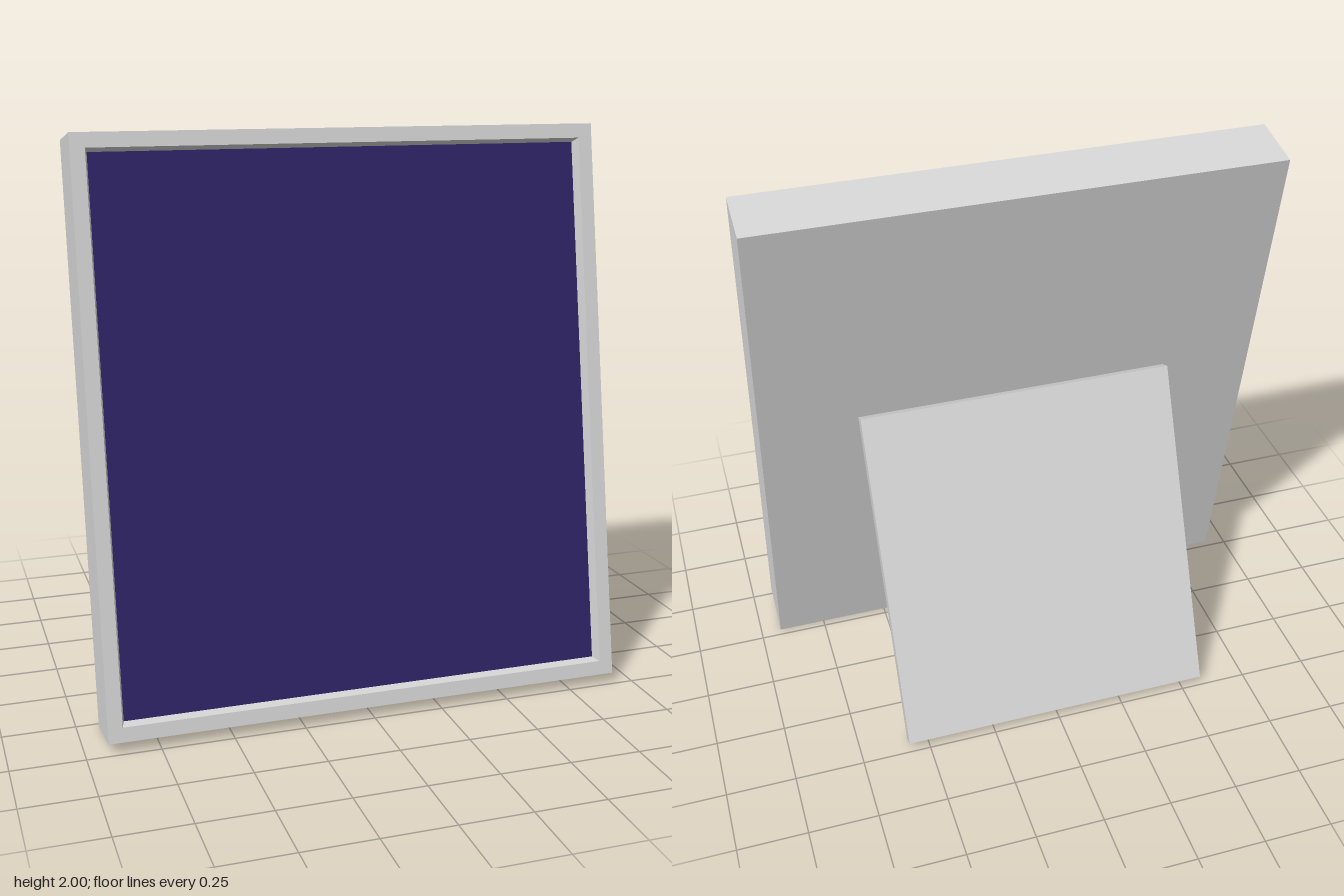
import * as THREE from 'three';

const WIDTH = 1.85, HEIGHT = 1.993, DEPTH = 0.215;
const BORDER = 0.05, BEVEL = 0.01, RECESS = 0.038;

// Joins a series of rectangular rings [halfWidth, halfHeight, z] with flat faces
function loftRectangles(rings) {
  const corners = rings.map(([w, h, z]) =>
    [[-w, -h, z], [w, -h, z], [w, h, z], [-w, h, z]]);
  const positions = [];
  for (let r = 0; r < corners.length - 1; r++) {
    const a = corners[r], b = corners[r + 1];
    for (let i = 0; i < 4; i++) {
      const j = (i + 1) % 4;
      positions.push(...a[i], ...a[j], ...b[j], ...a[i], ...b[j], ...b[i]);
    }
  }
  const geometry = new THREE.BufferGeometry();
  geometry.setAttribute('position', new THREE.Float32BufferAttribute(positions, 3));
  geometry.computeVertexNormals();
  return geometry;
}

export function createModel() {
  const group = new THREE.Group();
  group.name = 'pictureFrame';

  const frameGrey = new THREE.MeshStandardMaterial({ color: 0xd6d6d6 });
  frameGrey.name = 'frameGrey';
  const pictureIndigo = new THREE.MeshStandardMaterial({ color: 0x302468 });
  pictureIndigo.name = 'pictureIndigo';

  function add(parent, name, geometry, material) {
    const mesh = new THREE.Mesh(geometry, material);
    mesh.name = name;
    parent.add(mesh);
    return mesh;
  }

  // Panel leaning back ten degrees
  const panel = new THREE.Group();
  panel.name = 'panel';
  panel.position.set(0, 1, 0.21);
  panel.rotation.x = THREE.MathUtils.degToRad(-10);
  group.add(panel);

  // Frame: closed back, outer walls, front border and sloping recess walls
  const w = WIDTH / 2, h = HEIGHT / 2, d = DEPTH / 2;
  const inset = BORDER + BEVEL;
  add(panel, 'frame', loftRectangles([
    [0, 0, -d],
    [w, h, -d],
    [w, h, d],
    [w - BORDER, h - BORDER, d],
    [w - inset, h - inset, d - RECESS],
  ]), frameGrey);

  // Picture filling the floor of the recess
  add(panel, 'picture',
    new THREE.PlaneGeometry(WIDTH - 2 * inset, HEIGHT - 2 * inset), pictureIndigo)
    .position.z = d - RECESS;

  // Slanted board propping up the back
  const stand = add(group, 'backStand', new THREE.BoxGeometry(1.15, 1.225, 0.049), frameGrey);
  stand.position.set(0, 0.575, -0.207);
  stand.rotation.x = THREE.MathUtils.degToRad(25);

  return group;
}
